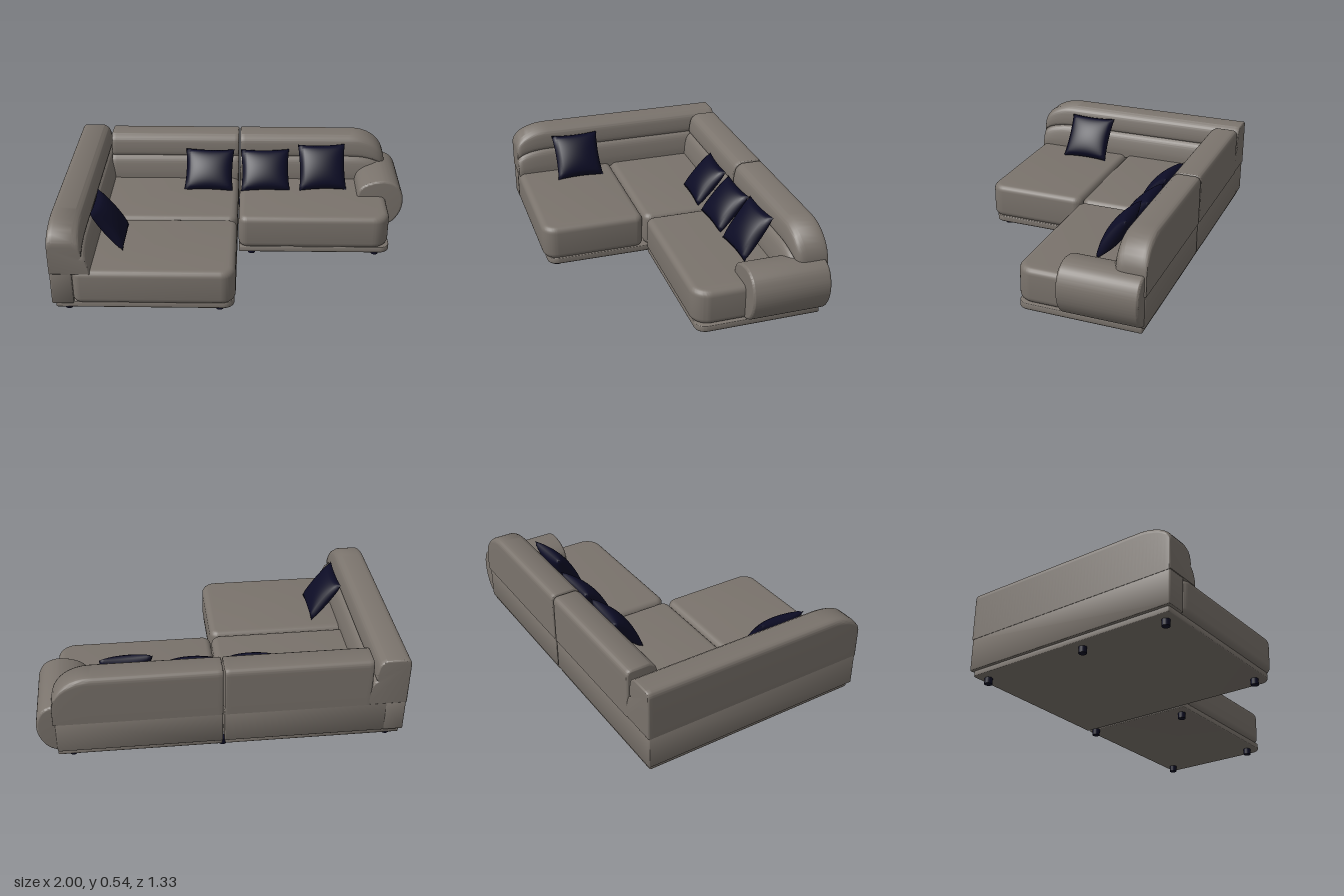
import * as THREE from 'three';
import { mergeGeometries, mergeVertices, toCreasedNormals } from 'three/addons/utils/BufferGeometryUtils.js';

const fabric = new THREE.MeshStandardMaterial({ color: 0x7a736c });
fabric.name = 'warm grey upholstery';
const navy = new THREE.MeshStandardMaterial({ color: 0x0c0c25 });
navy.name = 'dark navy';

function part(parent, name, geometry, material = fabric) {
  const mesh = new THREE.Mesh(geometry, material);
  mesh.name = name;
  parent.add(mesh);
  return mesh;
}

// Extrusion with soft ends that stays within the given length
function softExtrude(shape, length, bevel, steps = 1) {
  return new THREE.ExtrudeGeometry(shape, {
    depth: length - 2 * bevel, steps, curveSegments: 10,
    bevelEnabled: true, bevelSize: bevel, bevelThickness: bevel, bevelOffset: -bevel, bevelSegments: 5,
  }).translate(0, 0, bevel);
}

// Horizontal slab with soft edges; the front corner on the +x side has its own radius
function slab(x0, x1, z0, z1, y0, y1, bevel, frontRadius, r = bevel * 1.4) {
  const s = new THREE.Shape();
  const R = frontRadius;
  s.moveTo(x0 + r, -z1);
  s.lineTo(x1 - R, -z1);
  s.absarc(x1 - R, -z1 + R, R, -Math.PI / 2, 0);
  s.lineTo(x1, -z0 - r);
  s.absarc(x1 - r, -z0 - r, r, 0, Math.PI / 2);
  s.lineTo(x0 + r, -z0);
  s.absarc(x0 + r, -z0 - r, r, Math.PI / 2, Math.PI);
  s.lineTo(x0, -z1 + r);
  s.absarc(x0 + r, -z1 + r, r, Math.PI, Math.PI * 1.5);
  const g = softExtrude(s, y1 - y0, bevel).rotateX(-Math.PI / 2).translate(0, y0, 0);
  return toCreasedNormals(g, 0.7);
}

// Backrest section: x is the depth from the outer face, with a groove on the inner face
function backSection() {
  const s = new THREE.Shape();
  s.moveTo(0, 0.255);
  s.lineTo(0.22, 0.255);
  s.splineThru([[0.217, 0.31], [0.204, 0.37], [0.19, 0.398], [0.174, 0.41]].map(p => new THREE.Vector2(...p)));
  s.splineThru([[0.183, 0.425], [0.18, 0.47], [0.167, 0.515], [0.135, 0.54]].map(p => new THREE.Vector2(...p)));
  s.lineTo(0.035, 0.54);
  s.quadraticCurveTo(0, 0.54, 0, 0.505);
  return s;
}

// Lowers a point of the backrest top by the given drop
const lower = (y, drop) => 0.255 + (y - 0.255) * (0.285 - drop) / 0.285;

function deform(geometry, rule) {
  const p = geometry.attributes.position;
  const v = new THREE.Vector3();
  for (let i = 0; i < p.count; i++) {
    rule(v.fromBufferAttribute(p, i));
    p.setXYZ(i, v.x, v.y, v.z);
  }
  return toCreasedNormals(geometry, 0.7);
}

// Puffed square cushion with pinched sides
function pillowGeometry(width, height, thickness) {
  const front = new THREE.PlaneGeometry(2, 2, 18, 18);
  const p = front.attributes.position;
  for (let i = 0; i < p.count; i++) {
    const u = p.getX(i), v = p.getY(i);
    const a = 1 - u * u, b = 1 - v * v;
    p.setXYZ(i, width / 2 * u * (1 - 0.06 * b), height / 2 * v * (1 - 0.06 * a),
      thickness / 2 * Math.pow(Math.max(a * b, 0), 0.45));
  }
  const both = mergeGeometries([front, front.clone().rotateY(Math.PI)]);
  both.deleteAttribute('normal');
  both.deleteAttribute('uv');
  const g = mergeVertices(both, 1e-4);
  g.computeVertexNormals();
  return g;
}

export function createModel() {
  const sofa = new THREE.Group();
  sofa.name = 'cornerSofa';

  // Plinths
  part(sofa, 'chaisePlinth', slab(-0.98, -0.01, -0.65, 0.64, 0.035, 0.072, 0.006, 0.06));
  part(sofa, 'sidePlinth', slab(0.005, 0.9, -0.65, 0.045, 0.035, 0.072, 0.006, 0.06));

  // Feet
  const foot = new THREE.CylinderGeometry(0.022, 0.022, 0.036, 16).translate(0, 0.018, 0);
  const feet = [[-0.92, -0.595], [-0.92, 0.065], [-0.92, 0.58], [-0.09, 0.58],
    [0, -0.595], [0.08, -0.015], [0.82, -0.595], [0.82, -0.015]];
  for (const [x, z] of feet) part(sofa, 'foot', foot, navy).position.set(x, 0, z);

  // Lower frame behind the seats and under the long side
  part(sofa, 'longSideFrame', slab(-0.998, -0.88, -0.665, 0.657, 0.068, 0.26, 0.006, 0.01));
  part(sofa, 'chaiseBackFrame', slab(-0.9, -0.004, -0.665, -0.5, 0.068, 0.262, 0.006, 0.01));
  part(sofa, 'sideBackFrame', slab(0.004, 0.9, -0.665, -0.5, 0.068, 0.262, 0.006, 0.01));

  // Seat cushions
  part(sofa, 'chaiseFrontSeat', slab(-0.885, -0.003, 0.064, 0.663, 0.068, 0.272, 0.036, 0.085));
  part(sofa, 'chaiseRearSeat', slab(-0.885, -0.003, -0.56, 0.06, 0.068, 0.272, 0.036, 0.05));
  part(sofa, 'sideSeat', slab(0.003, 0.893, -0.56, 0.06, 0.068, 0.272, 0.036, 0.1));

  // Long side backrest, its top rounding down at the front
  const long = softExtrude(backSection(), 1.33, 0.008, 60).translate(-1, 0, -0.67);
  part(sofa, 'longSideBackrest', deform(long, v => {
    const t = THREE.MathUtils.clamp((v.z - 0.45) / 0.21, 0, 1);
    v.y = lower(v.y, 0.115 * (1 - Math.sqrt(1 - t * t)));
  }));

  // Rear backrests
  const rear = (x0, x1) => softExtrude(backSection(), x1 - x0, 0.01, 40)
    .rotateY(-Math.PI / 2).translate(x1, 0, -0.67);
  part(sofa, 'chaiseBackrest', toCreasedNormals(rear(-0.8, -0.004), 0.7));
  part(sofa, 'sideBackrest', deform(rear(0.004, 0.91), v => {
    // The outer end curves down and its inner corner is rounded
    const t = THREE.MathUtils.clamp((v.x - 0.7) / 0.21, 0, 1);
    const fall = 1 - Math.cos(t * Math.PI / 2);
    if (t > 0) v.x = 0.7 + 0.21 * Math.sin(t * Math.PI / 2);
    v.y = lower(v.y, 0.18 * fall);
    v.z = -0.67 + (v.z + 0.67) * (1 - 0.28 * Math.pow(fall, 2));
  }));

  // Rolled armrest
  const roll = new THREE.Shape();
  roll.moveTo(0.78, 0.072);
  roll.lineTo(0.89, 0.072);
  roll.splineThru([[0.945, 0.1], [0.985, 0.16], [1, 0.23], [0.99, 0.295], [0.953, 0.35],
    [0.88, 0.375], [0.79, 0.358], [0.735, 0.32], [0.718, 0.265]].map(p => new THREE.Vector2(...p)));
  part(sofa, 'rolledArmrest', toCreasedNormals(softExtrude(roll, 0.44, 0.014).translate(0, 0, -0.66), 0.7));

  // Throw pillows: position, facing, backward tilt, width, height
  const pillows = [
    [-0.185, 0.37, -0.375, -0.04, 0.7, 0.3, 0.265],
    [0.16, 0.37, -0.375, 0.03, 0.7, 0.3, 0.265],
    [0.51, 0.393, -0.375, 0.06, 0.6, 0.29, 0.285],
    [-0.71, 0.39, 0.295, Math.PI / 2, 0.62, 0.29, 0.285],
  ];
  for (const [x, y, z, yaw, tilt, w, h] of pillows) {
    const pillow = part(sofa, 'throwPillow', pillowGeometry(w, h, 0.1), navy);
    pillow.position.set(x, y, z);
    pillow.rotation.set(-tilt, yaw, 0, 'YXZ');
  }
  return sofa;
}
